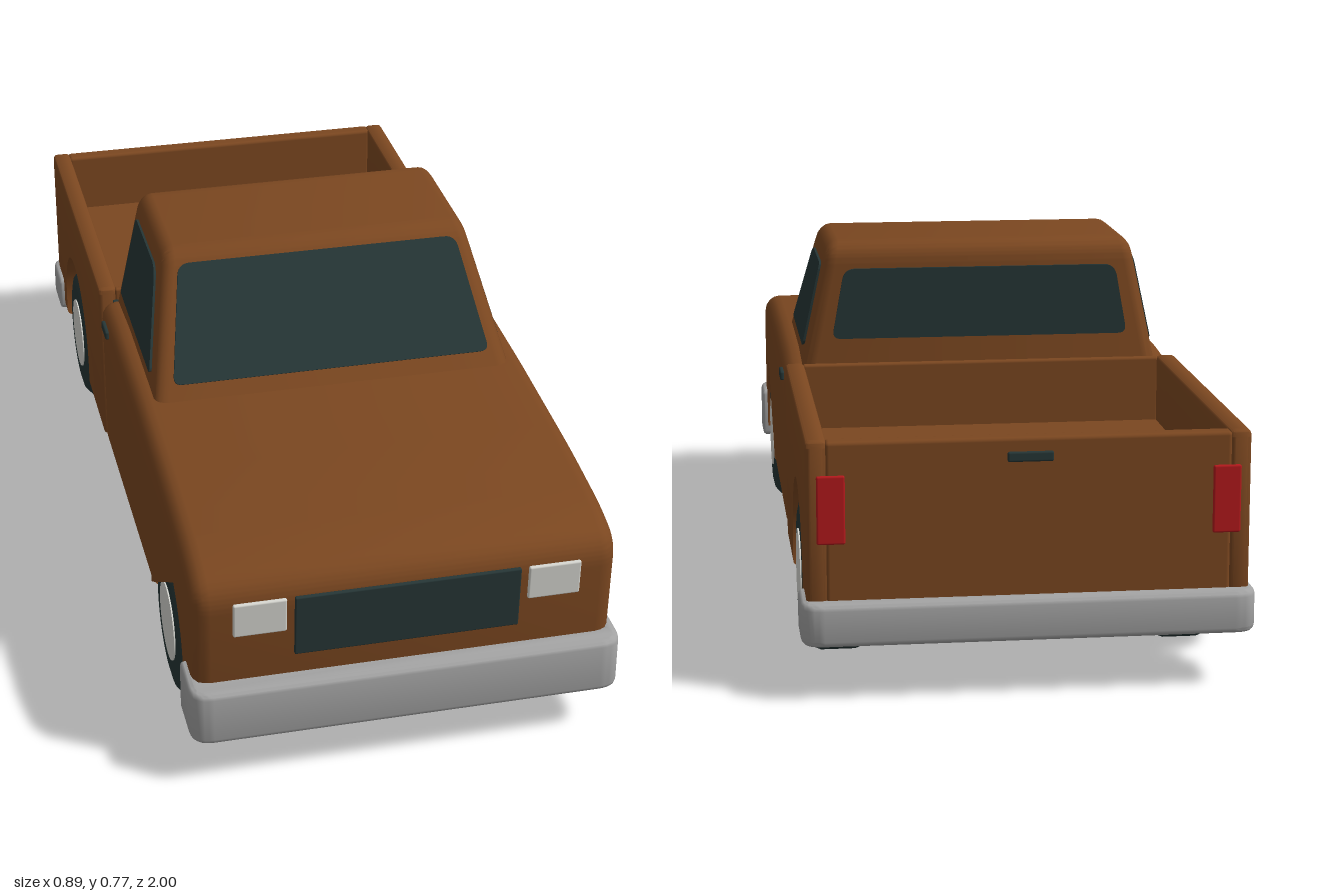
import * as THREE from 'three';
import { toCreasedNormals } from 'three/addons/utils/BufferGeometryUtils.js';
import { RoundedBoxGeometry } from 'three/addons/geometries/RoundedBoxGeometry.js';

const mat = (name, color) => Object.assign(new THREE.MeshStandardMaterial({ color }), { name });

const ARCH_R = 0.19, AXLE_Y = 0.17, FRONT_Z = 0.645, REAR_Z = -0.63, SILL = 0.125;

// Continues a path through [x, y, cornerRadius] points, rounding each corner.
function roundCorners(shape, pts, prev, next) {
  pts.forEach(([x, y, r = 0], i) => {
    const a = i ? pts[i - 1] : prev, b = i < pts.length - 1 ? pts[i + 1] : next;
    if (!r) return shape.lineTo(x, y);
    const la = Math.hypot(a[0] - x, a[1] - y), lb = Math.hypot(b[0] - x, b[1] - y);
    shape.lineTo(x + (a[0] - x) * r / la, y + (a[1] - y) * r / la);
    shape.quadraticCurveTo(x, y, x + (b[0] - x) * r / lb, y + (b[1] - y) * r / lb);
  });
  return shape;
}

function roundedShape(pts) {
  const n = pts.length, last = pts[n - 1], first = pts[0];
  const start = [(last[0] + first[0]) / 2, (last[1] + first[1]) / 2];
  const s = new THREE.Shape();
  s.moveTo(...start);
  roundCorners(s, pts, start, start);
  s.closePath();
  return s;
}

// Side outline: sill with one wheel arch, then the given upper outline.
function archedShape(z0, axleZ, upper) {
  const a = Math.asin((AXLE_Y - SILL) / ARCH_R);
  const s = new THREE.Shape();
  s.moveTo(z0 + 0.04, SILL);
  s.absarc(axleZ, AXLE_Y, ARCH_R, Math.PI + a, -a, true);
  roundCorners(s, upper, [axleZ + ARCH_R, SILL], [z0 + 0.04, SILL]);
  s.closePath();
  return s;
}

// Extrudes a (z, y) outline across x, centred, with edges bevelled inwards.
function extrudeAcross(shape, width, bevel = 0) {
  const g = new THREE.ExtrudeGeometry(shape, {
    depth: width - 2 * bevel, curveSegments: 20, bevelEnabled: bevel > 0,
    bevelSize: bevel, bevelOffset: -bevel, bevelThickness: bevel, bevelSegments: 4,
  });
  g.translate(0, 0, bevel - width / 2);
  return g.rotateY(-Math.PI / 2);
}

function moveVertices(g, rule) {
  const p = g.attributes.position, v = new THREE.Vector3();
  for (let i = 0; i < p.count; i++) {
    rule(v.fromBufferAttribute(p, i));
    p.setXYZ(i, v.x, v.y, v.z);
  }
  return toCreasedNormals(g, 0.6);
}

// Keeps the wheel arch a straight cylinder through the bevel.
const squareArch = (g, axleZ) => moveVertices(g, (v) => {
  const dz = v.z - axleZ, dy = v.y - AXLE_Y, d = Math.hypot(dz, dy);
  if (d < ARCH_R + 0.05) {
    v.z = axleZ + dz * ARCH_R / d;
    v.y = AXLE_Y + dy * ARCH_R / d;
  }
});

// Cab sides lean inwards with height.
const lean = (g) => moveVertices(g, (v) => { v.x *= 1 - 0.55 * (v.y - 0.5); });

export function createModel() {
  const paint = mat('brown paint', 0x7b4720), dark = mat('dark glass and rubber', 0x263636);
  const steel = mat('grey bumper', 0xa3a3a3), light = mat('pale lamp and hub', 0xd6d6d0);
  const red = mat('red lamp', 0xb3191c);
  const model = new THREE.Group();
  model.name = 'pickupTruck';

  const add = (name, geo, m, x = 0, y = 0, z = 0) => {
    const mesh = new THREE.Mesh(geo, m);
    mesh.name = name;
    mesh.position.set(x, y, z);
    model.add(mesh);
    return mesh;
  };
  const box = (name, m, x, y, z, w, h, d, r = 0) =>
    add(name, r ? new RoundedBoxGeometry(w, h, d, 3, r) : new THREE.BoxGeometry(w, h, d), m, x, y, z);

  // Hood, fenders and doors
  const lower = archedShape(-0.185, FRONT_Z, [
    [0.95, SILL, 0.02], [0.968, 0.455, 0.06], [0.86, 0.485, 0.05], [0.66, 0.502, 0.08],
    [0.3, 0.513, 0.05], [-0.02, 0.513, 0.05], [-0.185, 0.5, 0.04], [-0.185, SILL, 0.03]]);
  add('frontBody', squareArch(extrudeAcross(lower, 0.865, 0.035), FRONT_Z), paint);

  // Cab and its glass
  const cab = roundedShape([[0.36, 0.48], [0.15, 0.776, 0.035], [-0.176, 0.776, 0.05], [-0.181, 0.48]]);
  add('cab', lean(extrudeAcross(cab, 0.79, 0.03)), paint);
  const sideGlass = roundedShape([
    [0.255, 0.54, 0.015], [0.115, 0.725, 0.03], [-0.13, 0.725, 0.015], [-0.13, 0.54, 0.015]]);
  for (const s of [-1, 1])
    add(s > 0 ? 'leftWindow' : 'rightWindow',
      lean(extrudeAcross(sideGlass, 0.009).translate(s * 0.396, 0, 0)), dark);
  const pane = (bottom, top, h) => new THREE.ExtrudeGeometry(roundedShape([
    [bottom, -h / 2, 0.02], [top, h / 2, 0.025], [-top, h / 2, 0.025], [-bottom, -h / 2, 0.02]]),
  { depth: 0.009, bevelEnabled: false, curveSegments: 6 }).translate(0, 0, -0.0045);
  add('windscreen', pane(0.35, 0.308, 0.26), dark, 0, 0.647, 0.243).rotation.x = -0.617;
  add('rearWindow', pane(0.328, 0.3, 0.155), dark, 0, 0.64, -0.179).rotation.y = Math.PI;

  // Cargo bed: arched base, two side walls, front wall and tailgate
  const bedBase = archedShape(-0.96, REAR_Z, [[-0.205, SILL], [-0.205, 0.37], [-0.955, 0.37], [-0.955, SILL]]);
  add('bedBase', toCreasedNormals(extrudeAcross(bedBase, 0.8), 0.6), paint);
  const bedSide = archedShape(-0.965, REAR_Z, [
    [-0.198, SILL, 0.01], [-0.198, 0.515, 0.015], [-0.965, 0.515, 0.015], [-0.965, SILL, 0.01]]);
  for (const s of [-1, 1])
    add(s > 0 ? 'leftBedSide' : 'rightBedSide',
      squareArch(extrudeAcross(bedSide, 0.042, 0.01), REAR_Z), paint, s * 0.412);
  box('bedFrontWall', paint, 0, 0.32, -0.207, 0.79, 0.385, 0.018, 0.006);
  box('tailgate', paint, 0, 0.32, -0.947, 0.79, 0.385, 0.036, 0.008);

  // Chassis pieces
  box('cabGap', dark, 0, 0.31, -0.193, 0.8, 0.35, 0.03);
  box('frontAxleHousing', dark, 0, 0.235, FRONT_Z, 0.58, 0.19, 0.37);
  box('rearAxleHousing', dark, 0, 0.235, REAR_Z, 0.58, 0.19, 0.37);

  // Wheels
  const tyre = new THREE.LatheGeometry([
    [0.001, -0.072], [0.12, -0.075], [0.142, -0.07], [0.158, -0.056], [0.166, -0.035],
    [0.166, 0.035], [0.158, 0.056], [0.142, 0.07], [0.12, 0.075], [0.001, 0.072],
  ].map(([r, y]) => new THREE.Vector2(r, y)), 40).rotateZ(-Math.PI / 2);
  const hub = new THREE.CylinderGeometry(0.084, 0.084, 0.152, 32).rotateZ(-Math.PI / 2);
  for (const z of [FRONT_Z, REAR_Z]) for (const s of [-1, 1]) {
    const label = (z > 0 ? 'front' : 'rear') + (s > 0 ? 'Left' : 'Right');
    add(label + 'Tyre', tyre, dark, s * 0.355, AXLE_Y, z);
    add(label + 'Hub', hub, light, s * 0.356, AXLE_Y, z);
  }

  // Bumpers wrapping round the corners
  const bumper = (name, y0, y1, dir) => {
    const u = roundedShape([
      [-0.445, 0.865, 0.008], [-0.415, 0.865, 0.008], [-0.415, 0.94], [0.415, 0.94],
      [0.415, 0.865, 0.008], [0.445, 0.865, 0.008], [0.445, 1, 0.045], [-0.445, 1, 0.045]]);
    const b = 0.012;
    const g = new THREE.ExtrudeGeometry(u, {
      depth: y1 - y0 - 2 * b, bevelSize: b, bevelOffset: -b, bevelThickness: b, bevelSegments: 3, curveSegments: 8,
    }).translate(0, 0, b).rotateX(Math.PI / 2);
    const mesh = add(name, toCreasedNormals(g, 0.7), steel, 0, y1, 0);
    if (dir < 0) mesh.rotation.y = Math.PI;
  };
  bumper('frontBumper', 0.11, 0.23, 1);
  bumper('rearBumper', 0.115, 0.2, -1);

  // Grille, lamps and handles
  box('grille', dark, 0, 0.349, 0.965, 0.46, 0.14, 0.0095, 0.003).rotation.x = 0.055 * -1 + 0.11;
  box('tailgateHandle', dark, 0, 0.475, -0.967, 0.09, 0.02, 0.009, 0.004);
  for (const s of [-1, 1]) {
    const side = s > 0 ? 'left' : 'right';
    box(side + 'Headlight', light, s * 0.3, 0.38, 0.967, 0.108, 0.078, 0.0095, 0.004).rotation.x = 0.055;
    box(side + 'TailLight', red, s * 0.385, 0.38, -0.967, 0.055, 0.135, 0.009, 0.004);
    box(side + 'DoorHandle', dark, s * 0.436, 0.469, -0.088, 0.0095, 0.02, 0.06, 0.004);
  }
  return model;
}
